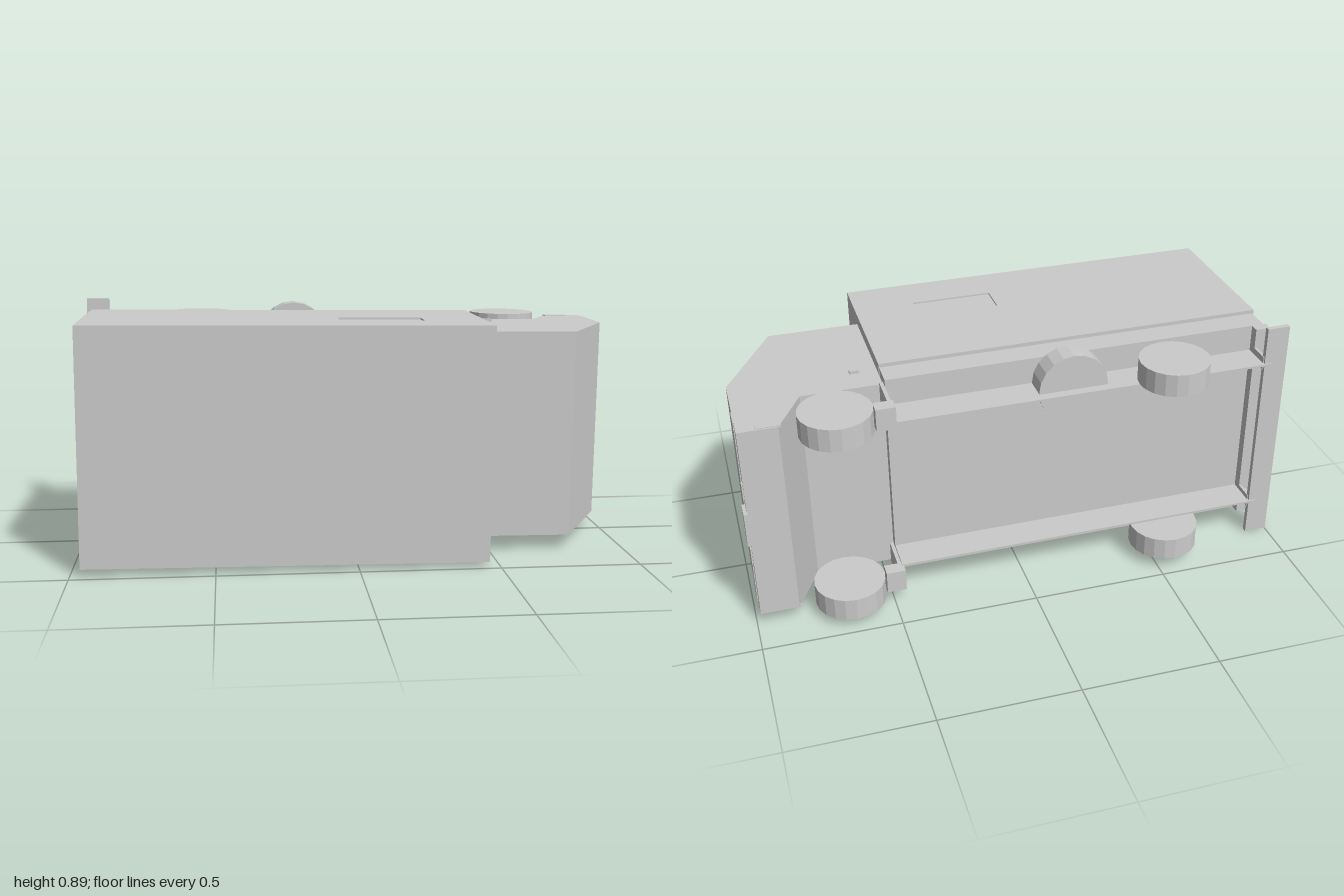
import * as THREE from 'three';

// A box truck lying on its side: nose to +x, roof to +z, wheels to -z.
// Local y runs across the truck, with 0 on its centre line.
const material = new THREE.MeshStandardMaterial({ color: 0xcccccc, flatShading: true, side: THREE.DoubleSide });

export function createModel() {
  const truck = new THREE.Group();
  truck.name = 'boxTruck';
  truck.position.y = 0.439;
  truck.rotation.z = -0.009;

  const add = (name, geometry, x = 0, y = 0, z = 0) => {
    const mesh = new THREE.Mesh(geometry, material);
    mesh.name = name;
    mesh.position.set(x, y, z);
    truck.add(mesh);
    return mesh;
  };
  const block = (name, [x0, x1], [y0, y1], [z0, z1]) =>
    add(name, new THREE.BoxGeometry(x1 - x0, y1 - y0, z1 - z0), (x0 + x1) / 2, (y0 + y1) / 2, (z0 + z1) / 2);
  const pair = (name, xs, [y0, y1], zs) => {
    block(name + 'Left', xs, [y0, y1], zs);
    block(name + 'Right', xs, [-y1, -y0], zs);
  };
  const outline = (points) => points.map(([a, b]) => new THREE.Vector2(a, b));
  // Extrude an x-z outline across the truck, centred on y
  const across = (name, points, width, y = 0, hole) => {
    const shape = new THREE.Shape(outline(points));
    if (hole) shape.holes.push(new THREE.Path(outline(hole)));
    const g = new THREE.ExtrudeGeometry(shape, { depth: width, bevelEnabled: false });
    g.translate(0, 0, -width / 2).rotateX(Math.PI / 2);
    return add(name, g, 0, y, 0);
  };
  const rect = (x0, x1, z0, z1) => [[x0, z0], [x1, z0], [x1, z1], [x0, z1]];

  // Cargo box: open at the rear, a shallow recessed hatch in each side
  const hatch = rect(-0.055, 0.245, 0.195, 0.31);
  for (const s of [1, -1]) {
    across('cargoSide', rect(-0.96, 0.467, -0.127, 0.473), 0.008, s * 0.415, hatch);
    across('hatchPanel', hatch, 0.002, s * 0.412);
  }
  block('cargoRoof', [-0.96, 0.467], [-0.411, 0.411], [0.465, 0.473]);
  block('cargoFloor', [-0.96, 0.467], [-0.411, 0.411], [-0.127, -0.119]);
  block('cargoFrontWall', [0.459, 0.467], [-0.411, 0.411], [-0.119, 0.465]);

  // Bed and the two thin chassis rails
  block('bed', [-0.955, 0.465], [-0.405, 0.405], [-0.22, -0.127]);
  pair('chassisRail', [-0.94, 0.465], [0.298, 0.306], [-0.342, -0.22]);

  // Tailgate: a raised frame around a recessed panel
  block('tailgatePanel', [-0.96, -0.955], [-0.36, 0.36], [-0.19, -0.04]);
  for (const z of [-0.19, -0.052]) block('tailgateRim', [-0.968, -0.955], [-0.36, 0.36], [z, z + 0.012]);
  pair('tailgateEnd', [-0.968, -0.955], [0.345, 0.36], [-0.19, -0.04]);

  // Rear beam, lamps, bumper and brackets
  block('rearBeam', [-0.965, -0.91], [-0.405, 0.405], [-0.255, -0.218]);
  for (const [y0, y1] of [[-0.28, -0.15], [0.05, 0.11], [0.27, 0.37]])
    block('rearLamp', [-0.973, -0.955], [y0, y1], [-0.25, -0.215]);
  block('rearBumper', [-0.998, -0.913], [-0.446, 0.446], [-0.337, -0.318]);
  pair('bumperBracket', [-0.92, -0.91], [0.28, 0.33], [-0.33, -0.25]);

  // Cab
  across('cab', [
    [0.467, -0.195], [0.755, -0.195], [0.85, -0.372], [0.988, -0.372],
    [0.988, -0.06], [0.80, 0.28], [0.467, 0.28],
  ], 0.754);

  // Front details
  for (const s of [1, -1]) {
    const lamp = new THREE.Shape(outline([[s * 0.375, -0.23], [s * 0.165, -0.23], [s * 0.125, -0.3], [s * 0.375, -0.3]]));
    const g = new THREE.ExtrudeGeometry(lamp, { depth: 0.004, bevelEnabled: false });
    // shape axes become y and z, depth becomes x
    g.applyMatrix4(new THREE.Matrix4().set(0, 0, 1, 0, 1, 0, 0, 0, 0, 1, 0, 0, 0, 0, 0, 1));
    add('headlampPanel', g, 0.987, 0, 0);
  }
  block('grilleStrip', [0.986, 0.991], [-0.355, 0.355], [-0.318, -0.306]);
  pair('fogLamp', [0.986, 0.993], [0.105, 0.165], [-0.355, -0.332]);
  block('frontPlate', [0.986, 1.0], [-0.065, 0.065], [-0.387, -0.322]);
  pair('cornerLamp', [0.84, 0.925], [0.372, 0.38], [-0.367, -0.325]);
  pair('sideMarker', [0.53, 0.565], [0.372, 0.388], [-0.095, -0.08]);

  // Mud flaps behind the front wheels
  pair('mudguard', [0.46, 0.53], [0.3, 0.385], [-0.375, -0.325]);
  pair('mudguardPost', [0.467, 0.48], [0.3, 0.385], [-0.33, -0.19]);

  // Road wheels, their axles along y
  const tyre = new THREE.CylinderGeometry(0.128, 0.128, 0.085, 20);
  for (const s of [1, -1]) {
    add('rearWheel', tyre, -0.55, s * 0.352, -0.348);
    add('frontWheel', tyre, 0.66, s * 0.352, -0.348);
  }

  // Spare wheel lying flat under the bed
  add('spareWheel', tyre, -0.19, 0.311, -0.265).rotation.x = Math.PI / 2;

  const model = new THREE.Group();
  model.name = 'model';
  model.add(truck);
  return model;
}
